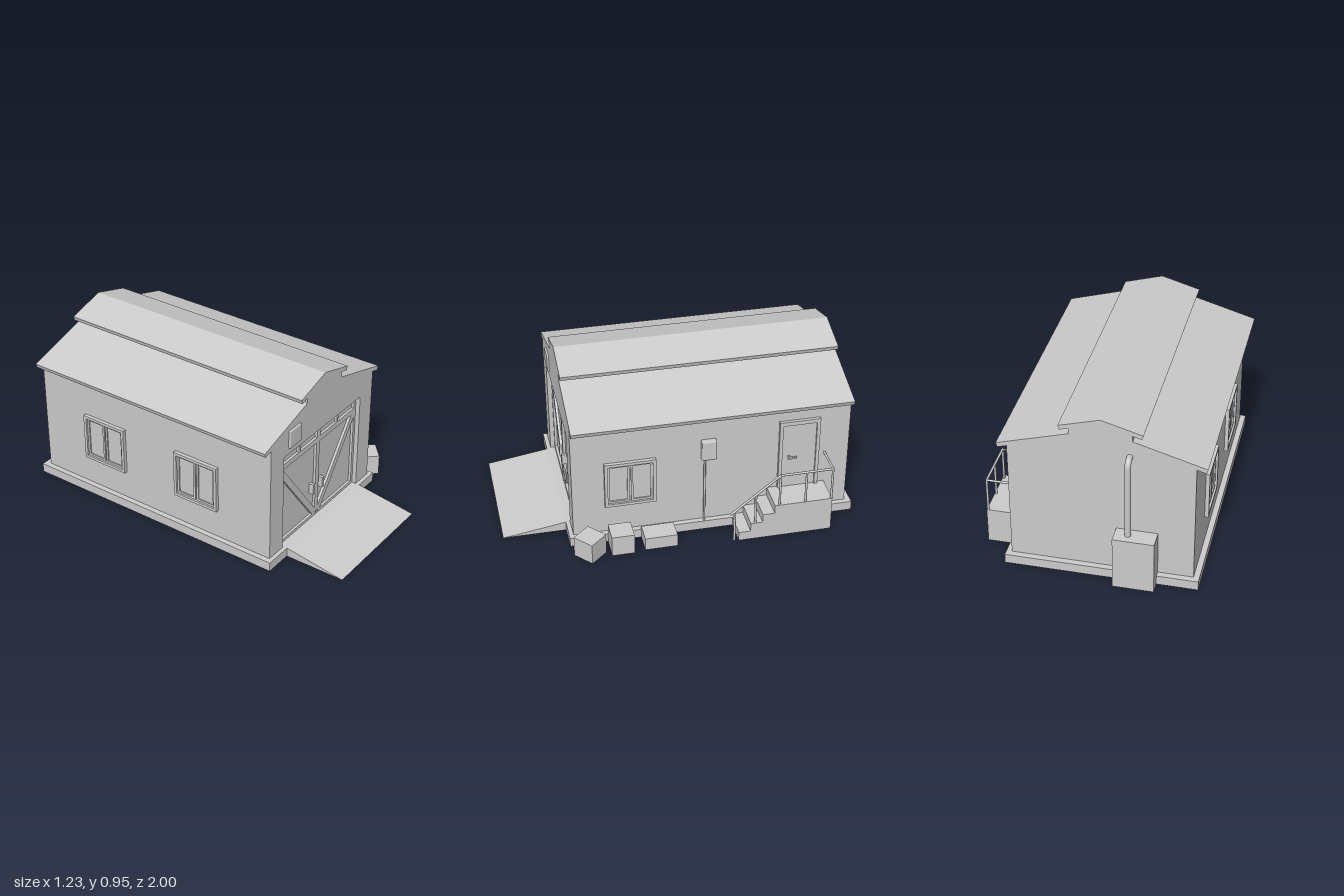
import * as THREE from 'three';
import { RoundedBoxGeometry } from 'three/addons/geometries/RoundedBoxGeometry.js';

// Double sided because the parts on the ground are open underneath
const grey = new THREE.MeshStandardMaterial({ color: 0xcccccc, side: THREE.DoubleSide });
const CX = -0.073; // ridge line of the building
const BASE = 0.053; // top of the foundation

function add(parent, name, geometry) {
  const mesh = new THREE.Mesh(geometry, grey);
  mesh.name = name;
  parent.add(mesh);
  return mesh;
}

// Box given by its limits on each axis
function box(parent, name, x0, x1, y0, y1, z0, z1) {
  const geometry = new THREE.BoxGeometry(x1 - x0, y1 - y0, z1 - z0);
  return add(parent, name, geometry.translate((x0 + x1) / 2, (y0 + y1) / 2, (z0 + z1) / 2));
}

// Removes every triangle that lies flat at one value of an axis (1 = y, 2 = z)
function openSide(mesh, axis, value) {
  const source = mesh.geometry.index ? mesh.geometry.toNonIndexed() : mesh.geometry;
  const p = source.attributes.position.array;
  const kept = [];
  for (let i = 0; i < p.length; i += 9) {
    const flat = [0, 3, 6].every((k) => Math.abs(p[i + k + axis] - value) < 1e-4);
    if (!flat) kept.push(...p.slice(i, i + 9));
  }
  mesh.geometry = new THREE.BufferGeometry();
  mesh.geometry.setAttribute('position', new THREE.Float32BufferAttribute(kept, 3));
  mesh.geometry.computeVertexNormals();
  return mesh;
}

const openBottom = (mesh) => openSide(mesh, 1, 0);

const toPoints = (list) => list.map(([x, y]) => new THREE.Vector2(x, y));

// Outline in x, y with optional holes, extruded from z0 to z1
function slab(parent, name, outline, holes, z0, z1) {
  const shape = new THREE.Shape(toPoints(outline));
  for (const hole of holes) shape.holes.push(new THREE.Path(toPoints(hole)));
  const geometry = new THREE.ExtrudeGeometry(shape, { depth: z1 - z0, bevelEnabled: false });
  return add(parent, name, geometry.translate(0, 0, z0));
}

// Outline in z, y extruded across x
function sideProfile(parent, name, outline, x0, x1) {
  const shape = new THREE.Shape(toPoints(outline));
  const geometry = new THREE.ExtrudeGeometry(shape, { depth: x1 - x0, bevelEnabled: false });
  return add(parent, name, geometry.rotateY(-Math.PI / 2).translate(x1, 0, 0));
}

function rod(parent, name, a, b, radius) {
  const from = new THREE.Vector3(...a);
  const dir = new THREE.Vector3(...b).sub(from);
  const mesh = add(parent, name, new THREE.CylinderGeometry(radius, radius, dir.length(), 10));
  mesh.position.copy(from).addScaledVector(dir, 0.5);
  mesh.quaternion.setFromUnitVectors(new THREE.Vector3(0, 1, 0), dir.normalize());
}

const rect = (x0, x1, y0, y1) => [[x0, y0], [x1, y0], [x1, y1], [x0, y1]];
const mirror = (points, axis) => points.map(([x, y]) => [2 * axis - x, y]);

function buildShell(model) {
  // Foundation skirt, open below and towards the ramp
  const z = 0.653;
  openSide(openBottom(box(model, 'foundation', -0.59, 0.443, 0, BASE, -0.934, z)), 2, z);
  for (const [x0, x1] of [[-0.59, -0.43], [0.293, 0.443]]) {
    const strip = new THREE.PlaneGeometry(x1 - x0, BASE);
    add(model, 'foundationFront', strip.translate((x0 + x1) / 2, BASE / 2, z));
  }
  const ramp = sideProfile(model, 'ramp', [[z, 0], [1, 0], [z, BASE]], -0.43, 0.293);
  openSide(openBottom(ramp), 2, z);

  // Gable outline with eaves and a raised ridge roof
  const half = [[0.486, BASE], [0.486, 0.728], [0.535, 0.714], [0.543, 0.738], [0.163, 0.848],
    [0.163, 0.88], [0.21, 0.866], [0.217, 0.89]];
  const right = half.map(([d, y]) => [CX + d, y]);
  const outline = [...right, [CX, 0.952], ...mirror(right, CX).reverse()];
  slab(model, 'wallsAndRoof', outline, [], -0.9, 0.59);

  // Front layer with the garage opening cut out
  const opening = [[-0.44, BASE], [-0.44, 0.624], [0.293, 0.624], [0.293, BASE]];
  slab(model, 'frontWall', [...outline, ...opening], [], 0.59, 0.63);
}

function buildGarageDoor(model) {
  const door = new THREE.Group();
  door.name = 'garageDoor';
  model.add(door);
  const windows = [rect(-0.426, -0.266, 0.552, 0.612), rect(-0.252, -0.09, 0.552, 0.612)];
  const holes = [
    ...windows, ...windows.map((w) => mirror(w, -0.076)),
    [[-0.41, 0.52], [-0.095, 0.52], [-0.095, 0.1]],
    [[-0.426, 0.48], [-0.426, 0.07], [-0.117, 0.07]],
    [[0.25, 0.52], [-0.065, 0.52], [-0.065, 0.1]],
    [[0.275, 0.495], [0.275, 0.07], [-0.043, 0.07]],
  ];
  slab(door, 'doorFrameAndBraces', rect(-0.44, 0.293, BASE, 0.624), holes, 0.59, 0.605);
  for (const x of [-0.125, -0.037]) {
    box(door, 'doorHandle', x - 0.009, x + 0.009, 0.213, 0.276, 0.59, 0.618);
  }
  box(door, 'doorLatch', -0.095, -0.065, 0.07, 0.076, 0.6, 0.61);
}

// Window facing local +z, centred on its own origin
function buildWindow(model, x, z, turn) {
  const group = new THREE.Group();
  group.name = 'window';
  const w = 0.14, h = 0.137;
  slab(group, 'windowFrame', rect(-w, w, -h, h), [rect(-w + 0.017, w - 0.017, -h + 0.017, h - 0.017)], 0, 0.021);
  for (const s of [-1, 1]) {
    const a = s < 0 ? -0.123 : 0.004, b = a + 0.119;
    slab(group, 'sash', rect(a, b, -0.12, 0.12), [rect(a + 0.012, b - 0.012, -0.108, 0.108)], 0, 0.01);
  }
  box(group, 'glass', -0.124, 0.124, -0.121, 0.121, 0, 0.003);
  group.position.set(x, 0.359, z);
  group.rotation.y = turn;
  model.add(group);
}

function buildSideDoor(model) {
  const group = new THREE.Group();
  group.name = 'sideDoor';
  // Local x runs towards the back of the building
  slab(group, 'sideDoorFrame', [[-0.113, 0.2], [-0.113, 0.629], [0.113, 0.629], [0.113, 0.2],
    [0.094, 0.2], [0.094, 0.605], [-0.094, 0.605], [-0.094, 0.2]], [], 0, 0.018);
  box(group, 'sideDoorLeaf', -0.094, 0.094, 0.2, 0.605, 0, 0.007);
  box(group, 'leverPlate', -0.065, -0.045, 0.38, 0.405, 0.006, 0.012);
  box(group, 'doorLever', -0.062, -0.012, 0.39, 0.4, 0.014, 0.024);
  box(group, 'leverStem', -0.06, -0.05, 0.39, 0.4, 0.006, 0.02);
  group.position.set(0.413, 0, -0.617);
  group.rotation.y = Math.PI / 2;
  model.add(group);
}

function buildStairs(model) {
  const outline = [[-0.77, 0], [-0.25, 0]];
  for (let i = 0; i < 4; i++) {
    const z = -0.25 - i * 0.066, y = 0.053 + i * 0.05;
    outline.push([z, y], [i < 3 ? z - 0.066 : -0.77, y]);
  }
  openBottom(sideProfile(model, 'stairsAndLanding', outline, 0.413, 0.584));

  // Handrail: back run, level run and slope, with posts
  const x = 0.576, r = 0.0065;
  const path = [[0.41, 0.394, -0.766], [x, 0.394, -0.766], [x, 0.394, -0.475], [x, 0.175, -0.203]];
  for (let i = 0; i < 3; i++) rod(model, 'handrail', path[i], path[i + 1], r);
  for (const [z, y0, y1] of [[-0.766, 0.2, 0.4], [-0.62, 0.2, 0.394], [-0.475, 0.2, 0.394],
    [-0.342, 0.1, 0.287], [-0.227, 0, 0.195]]) {
    rod(model, 'railPost', [x, y0, z], [x, y1, z], r);
  }
}

function buildFittings(model) {
  const vent = add(model, 'gableVent', new RoundedBoxGeometry(0.105, 0.105, 0.026, 2, 0.006));
  vent.position.set(-0.35, 0.712, 0.628);

  const meter = add(model, 'meterBox', new RoundedBoxGeometry(0.036, 0.118, 0.082, 2, 0.006));
  meter.position.set(0.433, 0.519, -0.113);
  rod(model, 'meterConduit', [0.43, BASE, -0.092], [0.43, 0.47, -0.092], 0.006);

  // Rear cabinet with its flue bending into the wall
  openBottom(box(model, 'rearCabinet', -0.37, -0.151, 0, 0.303, -1, -0.9));
  const flue = new THREE.CurvePath();
  const v = (y, z) => new THREE.Vector3(-0.222, y, z);
  flue.add(new THREE.LineCurve3(v(0.3, -0.947), v(0.72, -0.947)));
  flue.add(new THREE.QuadraticBezierCurve3(v(0.72, -0.947), v(0.756, -0.947), v(0.756, -0.91)));
  flue.add(new THREE.LineCurve3(v(0.756, -0.91), v(0.756, -0.89)));
  add(model, 'flue', new THREE.TubeGeometry(flue, 60, 0.016, 14));

  // Crates beside the wall
  openBottom(box(model, 'crate', 0.45, 0.57, 0, 0.12, 0.322, 0.446));
  openBottom(box(model, 'lowCrate', 0.443, 0.558, 0, 0.074, 0.083, 0.262));
  const turned = openBottom(box(model, 'turnedCrate', -0.061, 0.061, 0, 0.12, -0.062, 0.062));
  turned.position.set(0.527, 0, 0.557);
  turned.rotation.y = THREE.MathUtils.degToRad(-48);
}

export function createModel() {
  const model = new THREE.Group();
  model.name = 'garage';
  buildShell(model);
  buildGarageDoor(model);
  buildWindow(model, 0.413, 0.314, Math.PI / 2);
  for (const z of [-0.465, 0.158]) buildWindow(model, -0.559, z, -Math.PI / 2);
  buildSideDoor(model);
  buildStairs(model);
  buildFittings(model);
  return model;
}
